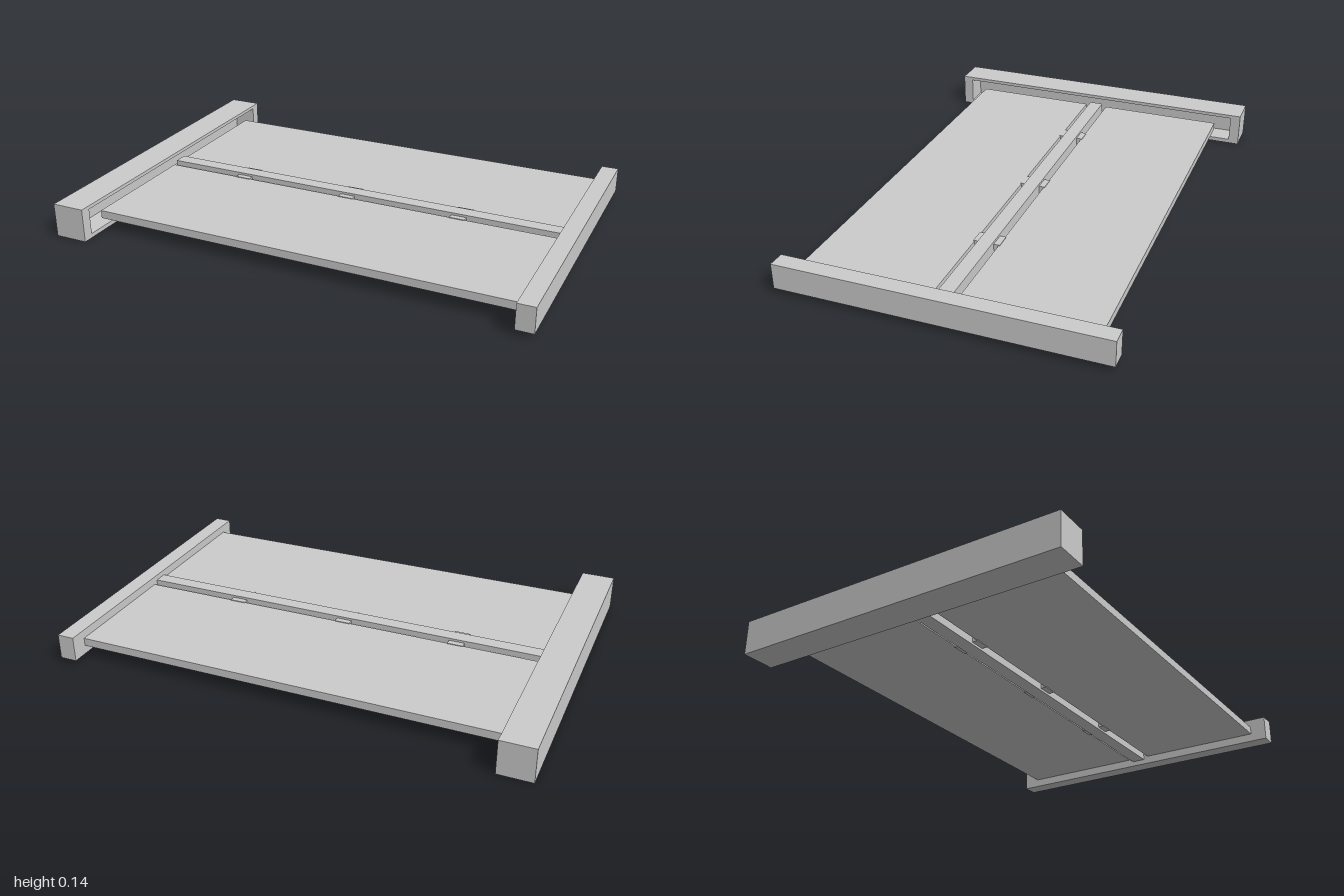
import * as THREE from 'three';

const material = new THREE.MeshStandardMaterial({ color: 0xcccccc, flatShading: true });

// Box given by its minimum and maximum along each axis
function block(name, [x0, x1], [y0, y1], [z0, z1]) {
  const mesh = new THREE.Mesh(new THREE.BoxGeometry(x1 - x0, y1 - y0, z1 - z0), material);
  mesh.position.set((x0 + x1) / 2, (y0 + y1) / 2, (z0 + z1) / 2);
  mesh.name = name;
  return mesh;
}

function rectangle(Type, halfWidth, y0, y1) {
  return new Type([
    new THREE.Vector2(-halfWidth, y0), new THREE.Vector2(halfWidth, y0),
    new THREE.Vector2(halfWidth, y1), new THREE.Vector2(-halfWidth, y1),
  ]);
}

export function createModel() {
  const model = new THREE.Group();
  model.name = 'foldingPanelFrame';

  // Large end housing: a closed outer wall and a hollow rim open towards the panels
  const housing = new THREE.Group();
  housing.name = 'endHousing';
  const rimShape = rectangle(THREE.Shape, 0.713, 0, 0.143);
  rimShape.holes.push(rectangle(THREE.Path, 0.668, 0.018, 0.128));
  const rimGeometry = new THREE.ExtrudeGeometry(rimShape, { depth: 0.1, bevelEnabled: false });
  rimGeometry.rotateY(Math.PI / 2);
  const rim = new THREE.Mesh(rimGeometry, material);
  rim.position.x = -0.96;
  rim.name = 'housingRim';
  housing.add(rim, block('housingBack', [-1, -0.96], [0, 0.143], [-0.713, 0.713]));
  model.add(housing);

  // Small end bar, sized to slide into the housing
  model.add(block('endBar', [0.928, 1], [0.02, 0.126], [-0.663, 0.663]));

  // Central spine
  model.add(block('spine', [-0.862, 0.93], [0.043, 0.103], [-0.03, 0.03]));

  // Mirrored panels, each joined to the spine by three hinges
  for (const [side, s] of [['left', 1], ['right', -1]]) {
    const span = (a, b) => (s > 0 ? [a, b] : [-b, -a]);
    model.add(block(side + 'Panel', [-0.862, 0.93], [0.056, 0.09], span(0.05, 0.593)));
    for (const x of [-0.5, 0, 0.5]) {
      model.add(block(side + 'Hinge', [x - 0.033, x + 0.033], [0.053, 0.093], span(0.025, 0.055)));
    }
  }
  return model;
}
